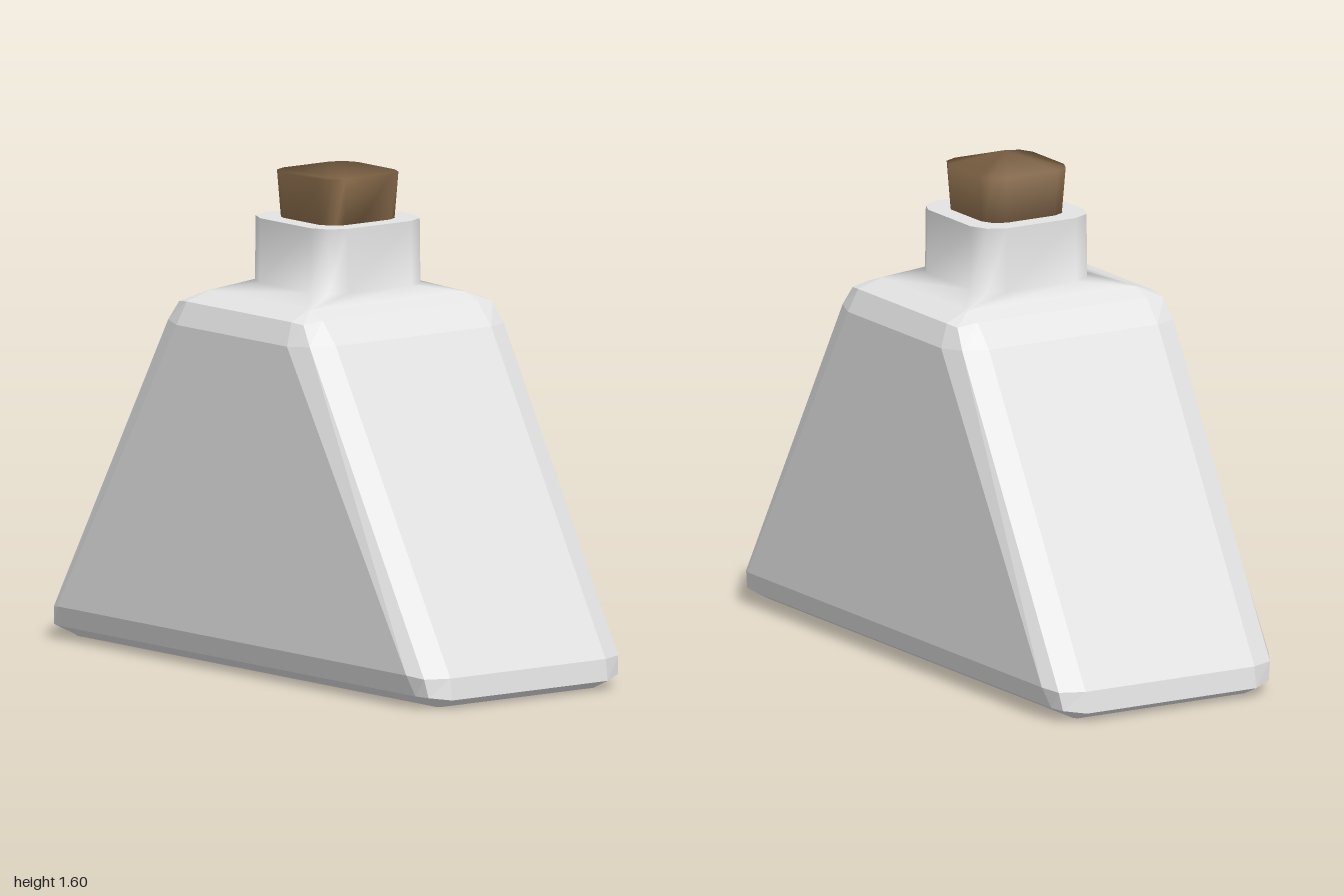
import * as THREE from 'three';

// Mirrors three corner points [x, y, z] (side, diagonal, front) into a 12-point ring
function ring(corner, dz = 0) {
  const back = [...corner].reverse();
  const put = (pts, sx, sz) => pts.map(([x, y, z]) => [sx * x, y, sz * z + dz]);
  return [...put(corner, 1, 1), ...put(back, -1, 1), ...put(corner, -1, -1), ...put(back, 1, -1)];
}

// Skins rings from bottom to top, with optional flat ends
function loft(rings, { flat = false, bottom = false, top = false } = {}) {
  const n = rings[0].length, index = [];
  for (let r = 0; r < rings.length - 1; r++) {
    for (let i = 0; i < n; i++) {
      const a = r * n + i, b = r * n + (i + 1) % n;
      index.push(a, a + n, b, b, a + n, b + n);
    }
  }
  const last = (rings.length - 1) * n;
  for (let i = 1; i < n - 1; i++) {
    if (bottom) index.push(0, i, i + 1);
    if (top) index.push(last, last + i + 1, last + i);
  }
  let geo = new THREE.BufferGeometry();
  geo.setAttribute('position', new THREE.Float32BufferAttribute(rings.flat(2), 3));
  geo.setIndex(index);
  if (flat) geo = geo.toNonIndexed();
  geo.computeVertexNormals();
  return geo;
}

// Rounded square ring of half width w at height y
const square = (w, y) => ring([[w, y, w * 0.6], [w * 0.87, y, w * 0.87], [w * 0.6, y, w]], -0.007);

export function createModel() {
  const group = new THREE.Group();
  const glass = new THREE.MeshStandardMaterial({ color: 0xe3e3e3 });
  const cork = new THREE.MeshStandardMaterial({ color: 0x7d6244 });
  const add = (name, geo, mat) => {
    const mesh = new THREE.Mesh(geo, mat);
    mesh.name = name;
    group.add(mesh);
  };

  // Tapered body with two-step bevels on every edge
  const shoulder = [[0.27, 1.207, 0.315], [0.265, 1.208, 0.32], [0.255, 1.208, 0.325]];
  add('body', loft([
    ring([[0.935, 0, 0.315], [0.93, 0, 0.32], [0.925, 0, 0.325]]),
    ring([[1.0, 0.03, 0.32], [0.965, 0.04, 0.39], [0.91, 0.04, 0.4]]),
    ring([[0.99, 0.1, 0.32], [0.955, 0.1, 0.4], [0.9, 0.11, 0.43]]),
    ring([[0.4, 1.11, 0.32], [0.365, 1.11, 0.4], [0.285, 1.105, 0.43]]),
    ring([[0.33, 1.185, 0.32], [0.32, 1.175, 0.39], [0.27, 1.18, 0.4]]),
    ring(shoulder),
  ], { flat: true, bottom: true }), glass);

  // Shoulder sweeping smoothly into the neck
  add('neck', loft([ring(shoulder), square(0.218, 1.24), square(0.216, 1.45)]), glass);

  // Flat rim and inner wall of the mouth
  add('rim', loft([square(0.216, 1.45), square(0.152, 1.45), square(0.15, 1.4)], { flat: true }), glass);

  // Tapered stopper with soft shading
  add('stopper', loft([square(0.145, 1.38), square(0.16, 1.6)], { bottom: true, top: true }), cork);

  return group;
}
